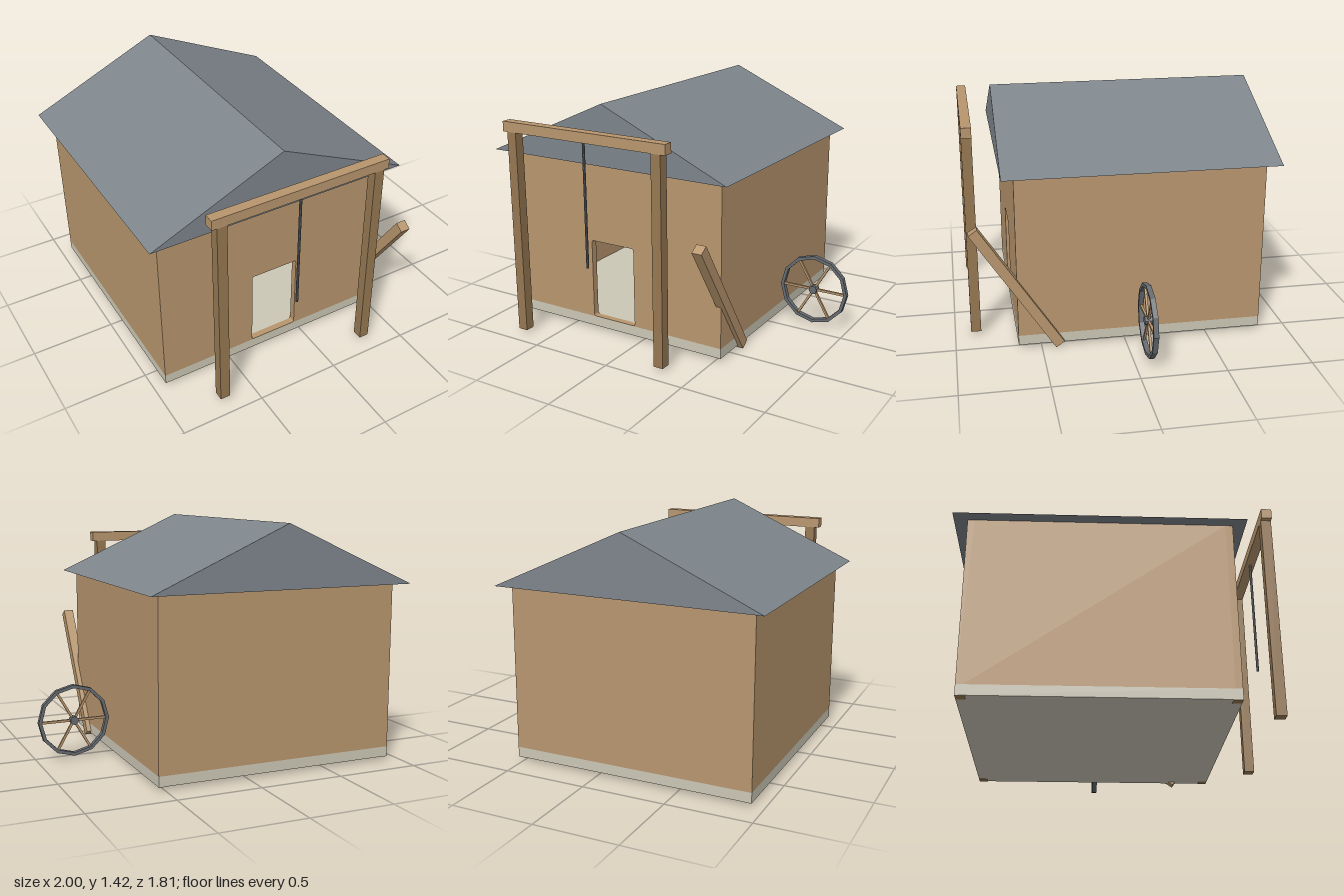
import * as THREE from 'three';

const mat = (color) => new THREE.MeshStandardMaterial({ color, flatShading: true });
const wood = mat(0xb8966e);
const postWood = mat(0x967852);
const slate = mat(0x7d858b);
const stone = mat(0xcbc7b6);
const iron = mat(0x666b70);

function add(parent, name, geometry, material, x = 0, y = 0, z = 0) {
  const mesh = new THREE.Mesh(geometry, material);
  mesh.name = name;
  mesh.position.set(x, y, z);
  parent.add(mesh);
  return mesh;
}

// Box given by its limits on each axis
function box(parent, name, material, [x0, x1], [y0, y1], [z0, z1]) {
  return add(parent, name, new THREE.BoxGeometry(x1 - x0, y1 - y0, z1 - z0), material,
    (x0 + x1) / 2, (y0 + y1) / 2, (z0 + z1) / 2);
}

const extrude = (shape, depth) => new THREE.ExtrudeGeometry(shape, { depth, bevelEnabled: false, curveSegments: 4 });

function polygon(points) {
  return new THREE.Shape(points.map(([x, y]) => new THREE.Vector2(x, y)));
}

// Rounded rectangular opening
function roundedOpening(x0, y0, x1, y1, r) {
  const p = new THREE.Path();
  p.moveTo(x0 + r, y0);
  p.lineTo(x1 - r, y0);
  p.quadraticCurveTo(x1, y0, x1, y0 + r);
  p.lineTo(x1, y1 - r);
  p.quadraticCurveTo(x1, y1, x1 - r, y1);
  p.lineTo(x0 + r, y1);
  p.quadraticCurveTo(x0, y1, x0, y1 - r);
  p.lineTo(x0, y0 + r);
  p.quadraticCurveTo(x0, y0, x0 + r, y0);
  return p;
}

function createWheel() {
  const wheel = new THREE.Group();
  wheel.name = 'wheel';
  const R = 0.216, width = 0.03, sides = 12;
  const ring = (r) => Array.from({ length: sides }, (_, i) => {
    const a = (i / sides) * Math.PI * 2;
    return [r * Math.cos(a), r * Math.sin(a)];
  });
  const rimShape = polygon(ring(R));
  rimShape.holes.push(polygon(ring(R - 0.02)));
  add(wheel, 'wheelRim', extrude(rimShape, width), iron, 0, 0, -width / 2);
  add(wheel, 'wheelHub', new THREE.CylinderGeometry(0.025, 0.025, 0.044, 10).rotateX(Math.PI / 2), iron);
  // Three bars across the wheel make six spokes
  for (let i = 0; i < 3; i++) {
    add(wheel, 'spoke', new THREE.BoxGeometry(2 * R - 0.03, 0.014, 0.014), wood).rotation.z = (i * Math.PI) / 3;
  }
  return wheel;
}

export function createModel() {
  const model = new THREE.Group();
  model.name = 'shed';
  const X = [-0.93, 0.535], Z = [-0.83, 0.635], wallY = [0.08, 1.06];
  const t = 0.04;

  // Foundation slab, with the feet of the corner posts just showing underneath
  box(model, 'foundation', stone, X, [0.02, 0.08], Z);
  const foot = 0.05, inset = 0.002;
  for (const x of [X[0] + inset, X[1] - foot - inset]) {
    for (const z of [Z[0] + inset, Z[1] - foot - inset]) {
      box(model, 'cornerPostFoot', postWood, [x, x + foot], [0.018, 0.07], [z, z + foot]);
    }
  }

  // Hollow walls, doorway in the front one
  const front = polygon([[X[0], wallY[0]], [X[1], wallY[0]], [X[1], wallY[1]], [X[0], wallY[1]]]);
  front.holes.push(roundedOpening(-0.347, 0.083, -0.05, 0.57, 0.015));
  add(model, 'frontWall', extrude(front, t), wood, 0, 0, Z[1] - t);
  box(model, 'backWall', wood, X, wallY, [Z[0], Z[0] + t]);
  const between = [Z[0] + t, Z[1] - t];
  box(model, 'rightWall', wood, [X[0], X[0] + t], wallY, between);
  box(model, 'leftWall', wood, [X[1] - t, X[1]], wallY, between);

  // Gable roof
  const gable = polygon([[-1, 1.06], [0.603, 1.06], [-0.199, 1.42]]);
  add(model, 'roof', extrude(gable, 1.613), slate, 0, 0, -0.906);

  // Hoist frame with hanging rope
  const hoist = new THREE.Group();
  hoist.name = 'hoist';
  model.add(hoist);
  const hoistZ = [0.845, 0.905];
  for (const x of [-0.685, 0.29]) {
    box(hoist, 'hoistPost', postWood, [x - 0.03, x + 0.03], [0.02, 1.24], hoistZ);
  }
  box(hoist, 'hoistBeam', wood, [-0.745, 0.35], [1.24, 1.3], hoistZ);
  add(hoist, 'rope', new THREE.CylinderGeometry(0.008, 0.008, 0.735, 8), iron, -0.198, 0.8725, 0.875);

  // Leaning plank
  const top = new THREE.Vector2(0.873, 0.753), bottom = new THREE.Vector2(0.392, 0.0165);
  const plank = add(model, 'leaningPlank', new THREE.BoxGeometry(0.06, top.distanceTo(bottom), 0.06), wood,
    0.533, (top.y + bottom.y) / 2, (top.x + bottom.x) / 2);
  plank.rotation.x = Math.atan2(top.x - bottom.x, top.y - bottom.y);

  // Spoked wheel beside the left wall
  const wheel = createWheel();
  wheel.position.set(0.782, 0.241, -0.085);
  model.add(wheel);

  return model;
}
